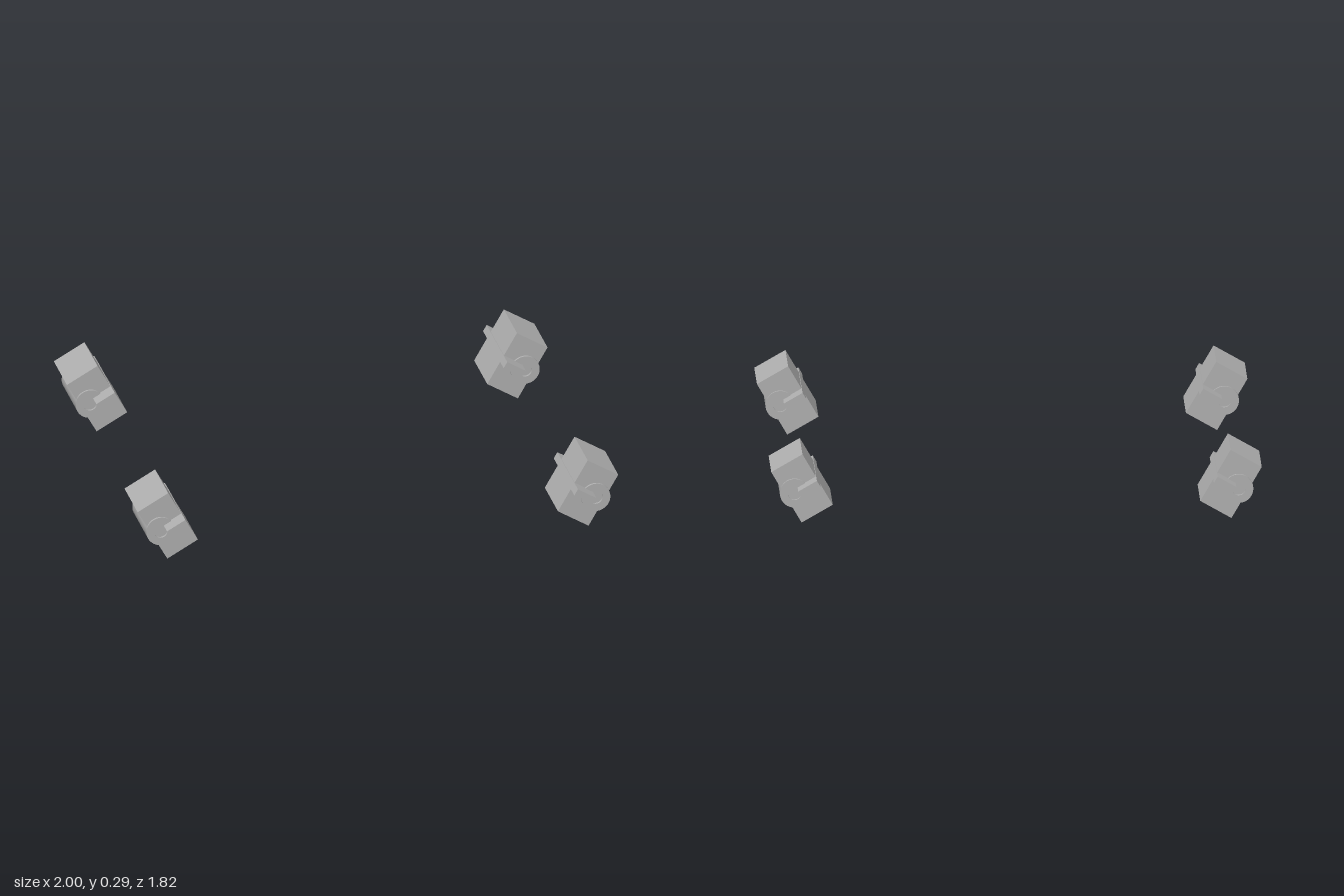
import * as THREE from 'three';

// One hinge block: slanted box, outward knuckle barrel, and a leaf poking out of both ends
function makeHinge(material) {
  const hinge = new THREE.Group();
  const add = (name, geometry, x) => {
    const mesh = new THREE.Mesh(geometry, material);
    mesh.name = name;
    mesh.position.x = x;
    hinge.add(mesh);
  };

  add('block', new THREE.BoxGeometry(0.147, 0.247, 0.263), 0);

  // Barrel with a bore, running slightly past the block's ends
  const ring = new THREE.Shape();
  ring.absarc(0, 0, 0.06, 0, Math.PI * 2, false);
  const bore = new THREE.Path();
  bore.absarc(0, 0, 0.028, 0, Math.PI * 2, true);
  ring.holes.push(bore);
  const length = 0.283;
  const barrel = new THREE.ExtrudeGeometry(ring, { depth: length, bevelEnabled: false, curveSegments: 24 });
  barrel.translate(0, 0, -length / 2);
  // Smooth the round walls while the end faces stay flat
  const p = barrel.attributes.position, n = barrel.attributes.normal;
  for (let i = 0; i < p.count; i++) {
    if (Math.abs(n.getZ(i)) > 0.5) continue;
    const r = Math.hypot(p.getX(i), p.getY(i));
    const s = r > 0.045 ? 1 : -1;
    n.setXYZ(i, s * p.getX(i) / r, s * p.getY(i) / r, 0);
  }
  add('barrel', barrel, 0.0354);

  // Thin leaf from the barrel to the inner side
  add('leaf', new THREE.BoxGeometry(0.088, 0.03, 0.412), -0.0313);
  return hinge;
}

export function createModel() {
  const model = new THREE.Group();
  model.name = 'hingeSet';
  const grey = new THREE.MeshStandardMaterial({ color: 0xb0b0b0 });
  grey.name = 'grey';

  // Four corners, the barrels facing outward
  for (const side of [1, -1]) {
    for (const end of [1, -1]) {
      const hinge = makeHinge(grey);
      hinge.name = (end > 0 ? 'front' : 'back') + (side > 0 ? 'Left' : 'Right') + 'Hinge';
      hinge.rotation.z = -Math.PI / 6;
      const corner = new THREE.Group();
      corner.add(hinge);
      corner.rotation.y = side > 0 ? 0 : Math.PI;
      corner.position.set(side * 0.8745, 0.1437, end * 0.706);
      model.add(corner);
    }
  }
  return model;
}
